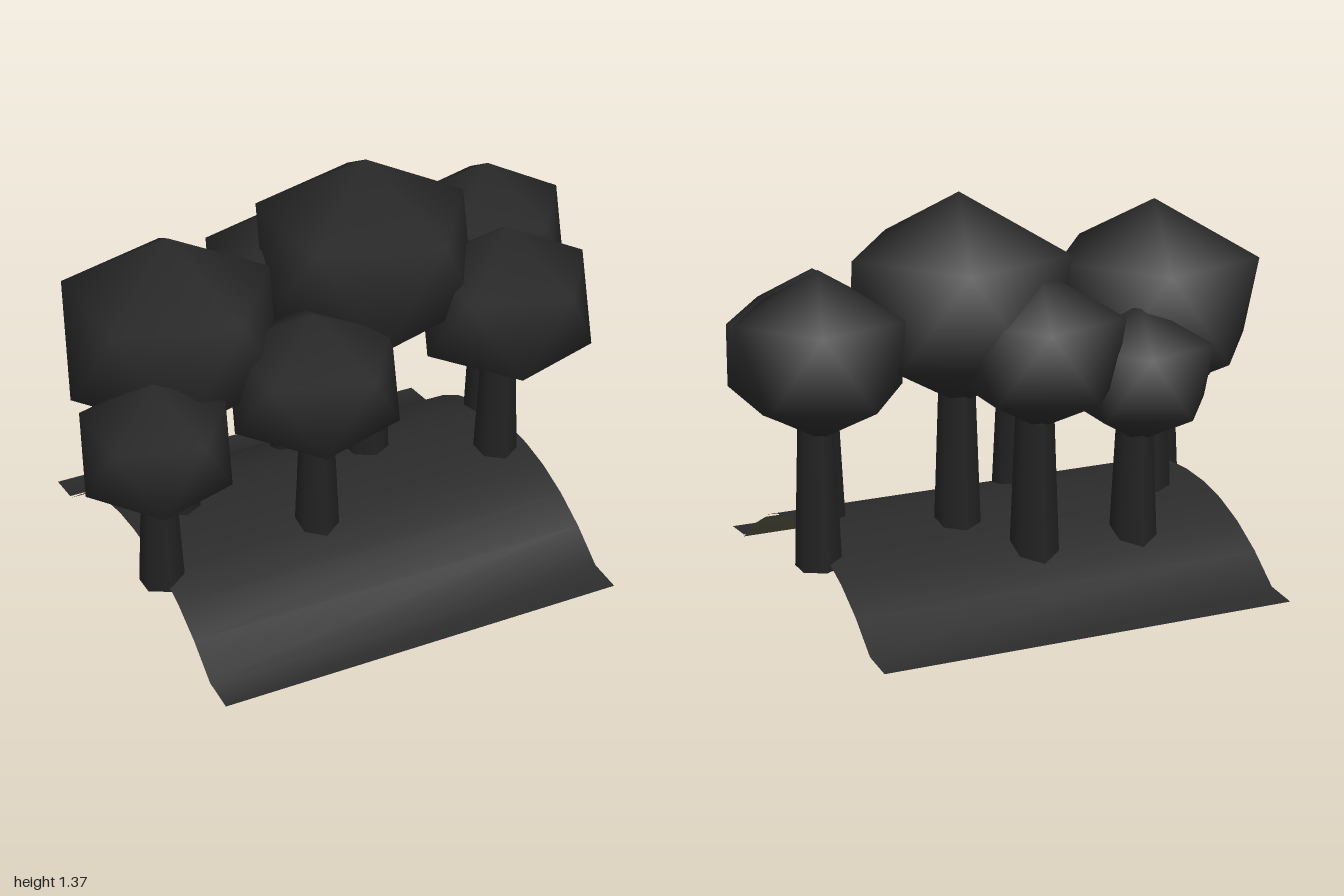
import * as THREE from 'three';
import { mergeVertices } from 'three/addons/utils/BufferGeometryUtils.js';

const mat = (color, side = THREE.FrontSide) => new THREE.MeshStandardMaterial({ color, side });
const leafMat = mat(0x282828);
const barkMat = mat(0x222222);
const turfMat = mat(0x2b2b2b);
const soilMat = mat(0x585844, THREE.BackSide);

// Arched ground sheet with a flat lip along the front and back
function groundSheet(lift) {
  const g = new THREE.PlaneGeometry(1.46, 1.46, 1, 12);
  g.rotateX(-Math.PI / 2);
  const p = g.attributes.position;
  for (let i = 0; i < p.count; i++) {
    const t = Math.abs(p.getZ(i)) / 0.62;
    p.setY(i, lift + Math.max(0, 0.24 * (1 - t ** 2.2)));
  }
  g.translate(-0.025, 0, 0);
  g.computeVertexNormals();
  return g;
}

// Crown: two poles and two rings of five, the lower ring turned half a step
function crownGeometry(r, height) {
  let g = new THREE.SphereGeometry(1, 5, 3);
  g.deleteAttribute('uv');
  g.deleteAttribute('normal');
  const p = g.attributes.position;
  const v = new THREE.Vector3();
  const up = new THREE.Vector3(0, 1, 0);
  for (let i = 0; i < p.count; i++) {
    v.fromBufferAttribute(p, i);
    if (Math.abs(v.y) < 0.9) {
      v.y = 0;
      v.setLength(r).applyAxisAngle(up, p.getY(i) > 0 ? Math.PI : Math.PI * 0.8);
      v.y = Math.sign(p.getY(i)) * height * 0.46;
    } else {
      v.set(0, v.y * height, 0);
    }
    p.setXYZ(i, v.x, v.y, v.z);
  }
  g = mergeVertices(g, 1e-4);
  g.computeVertexNormals();
  return g;
}

// Trunk x, z, base height, base radius; crown x, z, centre height, half height, radius
const trees = [
  [-0.56, -0.07, 0.20, 0.079, -0.56, -0.08, 0.92, 0.350, 0.362],
  [0.19, -0.12, 0.20, 0.080, 0.18, -0.12, 1.01, 0.360, 0.376],
  [0.72, -0.20, 0.185, 0.078, 0.715, -0.23, 0.91, 0.280, 0.285],
  [0.595, 0.09, 0.20, 0.079, 0.615, 0.09, 0.82, 0.290, 0.302],
  [-0.165, 0.20, 0.19, 0.077, -0.175, 0.20, 0.775, 0.257, 0.288],
  [-0.75, 0.225, 0.18, 0.077, -0.755, 0.23, 0.70, 0.240, 0.248],
  [0.0, -0.325, 0.15, 0.084, -0.01, -0.34, 0.87, 0.268, 0.284],
  [-0.37, -0.325, 0.15, 0.082, -0.38, -0.335, 0.745, 0.240, 0.248],
];

export function createModel() {
  const model = new THREE.Group();
  const add = (parent, name, geometry, material, x = 0, y = 0, z = 0) => {
    const mesh = new THREE.Mesh(geometry, material);
    mesh.name = name;
    mesh.position.set(x, y, z);
    parent.add(mesh);
  };

  // Ground: turf above, soil seen from below
  add(model, 'turf', groundSheet(0.008), turfMat);
  add(model, 'soil', groundSheet(0), soilMat);

  // Trees
  trees.forEach(([tx, tz, base, baseR, cx, cz, cy, height, r], i) => {
    const tree = new THREE.Group();
    tree.name = 'tree' + (i + 1);
    const top = cy - height * 0.6;
    const trunk = new THREE.CylinderGeometry(baseR * 0.74, baseR, top - base, 6);
    add(tree, 'trunk', trunk, barkMat, tx, (top + base) / 2, tz);
    add(tree, 'crown', crownGeometry(r, height), leafMat, cx, cy, cz);
    model.add(tree);
  });
  return model;
}
